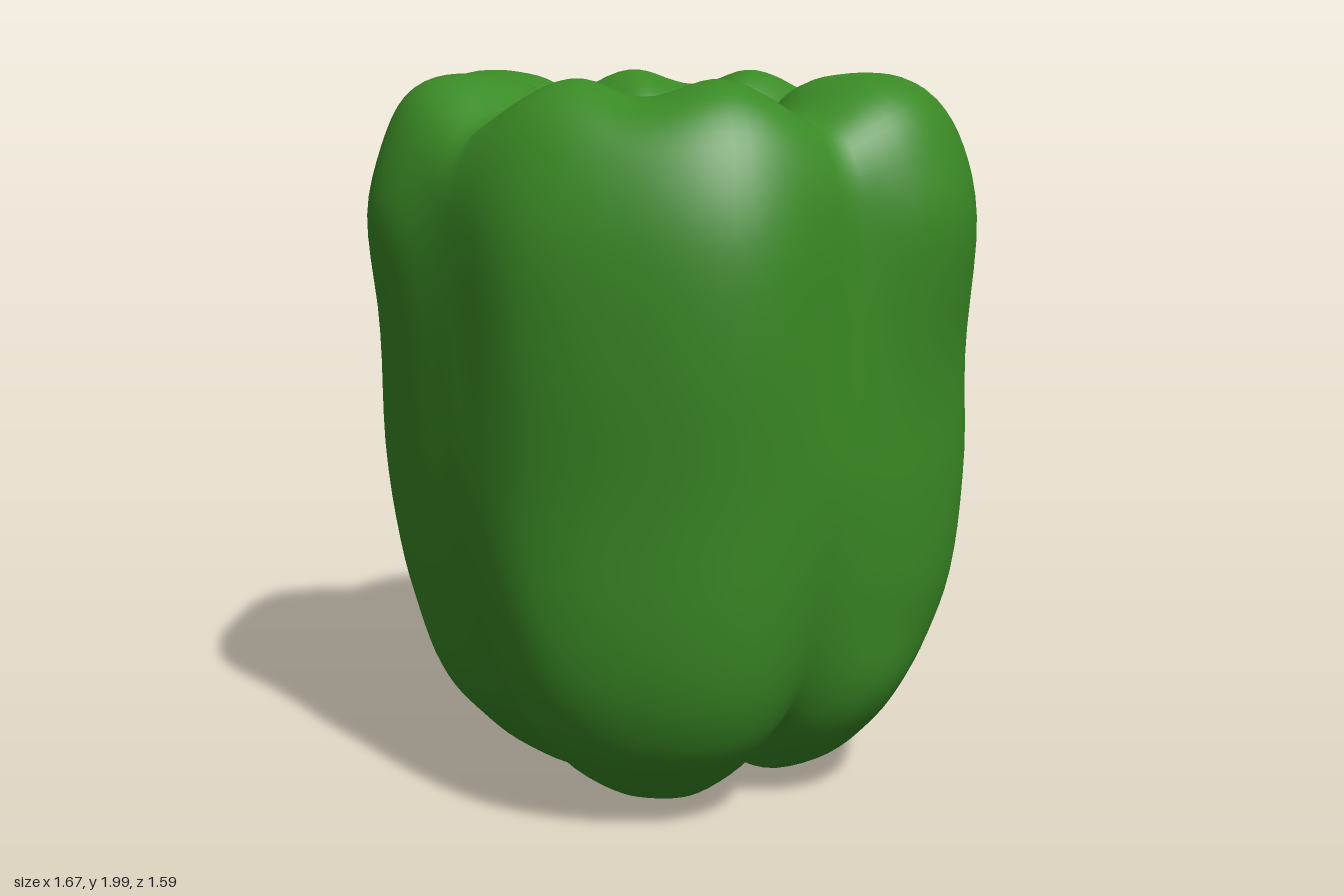
import * as THREE from 'three';

// Profiles run from the bottom centre, up the outside, over the rim to the recess centre: [radius, height]
const GROOVE = [[0, .16], [.07, .165], [.15, .17], [.25, .175], [.36, .195], [.46, .255], [.55, .355], [.625, .51], [.685, .75], [.718, 1],
  [.728, 1.35], [.73, 1.6], [.715, 1.74], [.66, 1.835], [.57, 1.885], [.475, 1.9], [.39, 1.875], [.315, 1.815], [.15, 1.805], [0, 1.805]];
const BOTTOM = [[0, .16], [.08, .12], [.18, .06]];
const RIM = [[.43, 1.935], [.33, 1.9], [.24, 1.815], [.12, 1.805], [0, 1.805]];

// Lobes in order of angle: front, left (+x), back, right (-x)
// skew leans the bulge to one side, round softens the flanks at mid height
const LOBES = [
  { skew: .022, round: .15, body: [[.31, .025], [.46, .1], [.57, .2], [.64, .3], [.7, .45], [.735, .65], [.755, .95], [.785, 1.3], [.785, 1.6], [.735, 1.8], [.65, 1.91], [.53, 1.95]] },
  { skew: 0, round: 1, body: [[.32, .035], [.48, .1], [.59, .2], [.66, .3], [.735, .45], [.795, .65], [.82, .95], [.815, 1.25], [.835, 1.6], [.795, 1.8], [.72, 1.91], [.59, 1.95]] },
  { skew: .022, round: .15, body: [[.31, .03], [.48, .1], [.6, .2], [.655, .3], [.71, .45], [.73, .65], [.755, .95], [.79, 1.3], [.775, 1.6], [.72, 1.8], [.63, 1.91], [.51, 1.95]] },
  { skew: -.015, round: 1, body: [[.28, .01], [.45, .1], [.56, .2], [.64, .3], [.715, .45], [.775, .65], [.82, .95], [.825, 1.3], [.835, 1.6], [.79, 1.8], [.715, 1.92], [.585, 1.955]] },
];

const curve = pts => new THREE.SplineCurve(pts.map(p => new THREE.Vector2(...p)));
const { lerp, smoothstep } = THREE.MathUtils;

// Flat-faced lobe section at even steps across half a lobe: 0 on the lobe, 1 in the groove
const SECTION = curve([0, -.05, -.12, -.07, .28, .76, 1].map((v, i) => [i / 6, v]));

function pepperGeometry(segments = 112, rows = 84) {
  const groove = curve(GROOVE);
  const lobes = LOBES.map(l => curve([...BOTTOM, ...l.body, ...RIM]));
  const positions = [0, .16, 0];
  const index = [];
  for (let j = 1; j < rows; j++) {
    const t = j / rows;
    const g = groove.getPoint(t);
    const square = smoothstep(t, .25, .45);                                     // round below, square above
    const waist = smoothstep(t, .3, .4) * (1 - smoothstep(t, .48, .6));         // softer lobes at mid height
    const crest = smoothstep(t, .58, .73) * (1 - smoothstep(t, .78, .9));       // twin bumps along the rim
    const body = smoothstep(t, .4, .55) * (1 - smoothstep(t, .68, .8));
    for (let i = 0; i < segments; i++) {
      const theta = i / segments * Math.PI * 2;
      const quarter = theta / (Math.PI / 2);
      const k = Math.round(quarter);
      const side = (quarter - k) * 2;                                           // -1..1 across one lobe
      const a = Math.abs(side);
      const lobe = LOBES[k % 4];
      const p = lobes[k % 4].getPoint(t);
      const upper = lerp(SECTION.getPoint(a).y, smoothstep(a, 0, 1), waist * lobe.round);
      const s = lerp(a ** 2.8, upper, square);
      const r = lerp(p.x, g.x, s) * (1 + lobe.skew * Math.sin(Math.PI * side) * body);
      const y = lerp(p.y, g.y, a ** 3) + .05 * crest * Math.sin(Math.PI * a) ** 2;
      positions.push(r * Math.sin(theta), y, r * Math.cos(theta));
    }
  }
  positions.push(0, 1.805, 0);
  const top = positions.length / 3 - 1;
  const at = (j, i) => 1 + (j - 1) * segments + i % segments;
  for (let i = 0; i < segments; i++) {
    index.push(0, at(1, i + 1), at(1, i));
    for (let j = 1; j < rows - 1; j++) {
      index.push(at(j, i), at(j, i + 1), at(j + 1, i), at(j, i + 1), at(j + 1, i + 1), at(j + 1, i));
    }
    index.push(top, at(rows - 1, i), at(rows - 1, i + 1));
  }
  const geometry = new THREE.BufferGeometry();
  geometry.setAttribute('position', new THREE.Float32BufferAttribute(positions, 3));
  geometry.setIndex(index);

  // Stand on the ground, centred
  geometry.computeBoundingBox();
  const { min, max } = geometry.boundingBox;
  geometry.translate(-(min.x + max.x) / 2, -min.y, -(min.z + max.z) / 2);
  geometry.computeVertexNormals();
  return geometry;
}

export function createModel() {
  const group = new THREE.Group();
  group.name = 'bellPepper';
  const skin = new THREE.MeshStandardMaterial({ color: 0x3a8a25 });
  skin.name = 'pepper green';
  const flesh = new THREE.Mesh(pepperGeometry(), skin);
  flesh.name = 'pepperBody';
  group.add(flesh);
  return group;
}
